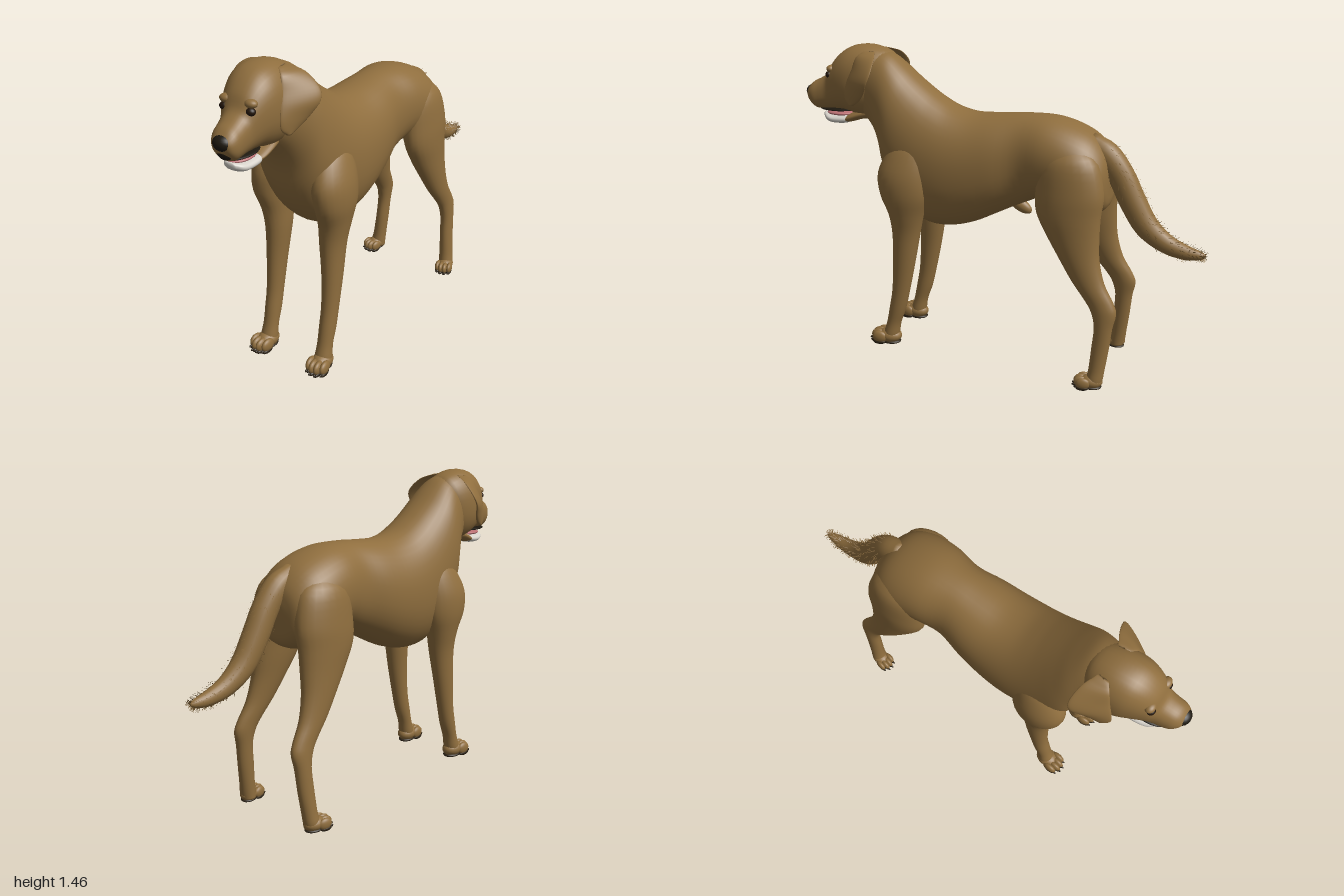
import * as THREE from 'three';

const mat = (name, color, side = THREE.FrontSide) => {
  const m = new THREE.MeshStandardMaterial({ color, side });
  m.name = name;
  return m;
};
const V = (x, y, z) => new THREE.Vector3(x, y, z);

// Smooth skin over rings; each ring is {c: centre, u, v: half axes}
function loft(rings, { sides = 28, steps = 4, power = 2 } = {}) {
  const [C, U, W] = ['c', 'u', 'v'].map((k) =>
    new THREE.CatmullRomCurve3(rings.map((r) => r[k]), false, 'catmullrom', 0.5));
  const n = (rings.length - 1) * steps;
  const pos = [], idx = [];
  const bend = (a) => Math.sign(a) * Math.abs(a) ** (2 / power);
  for (let i = 0; i <= n; i++) {
    const c = C.getPoint(i / n), u = U.getPoint(i / n), v = W.getPoint(i / n);
    for (let j = 0; j < sides; j++) {
      const a = (j / sides) * Math.PI * 2;
      const p = c.clone().addScaledVector(u, bend(Math.cos(a))).addScaledVector(v, bend(Math.sin(a)));
      pos.push(p.x, p.y, p.z);
    }
  }
  const mid = Math.floor(rings.length / 2);
  const along = rings[mid].c.clone().sub(rings[mid - 1].c);
  const flip = rings[mid].u.clone().cross(rings[mid].v).dot(along) < 0;
  const tri = (a, b, c) => (flip ? idx.push(a, c, b) : idx.push(a, b, c));
  for (let i = 0; i < n; i++) for (let j = 0; j < sides; j++) {
    const a = i * sides + j, b = i * sides + ((j + 1) % sides);
    tri(a, b, b + sides);
    tri(a, b + sides, a + sides);
  }
  // End caps
  const first = (n + 1) * sides;
  for (const c of [rings[0].c, rings.at(-1).c]) pos.push(c.x, c.y, c.z);
  for (let j = 0; j < sides; j++) {
    const k = (j + 1) % sides;
    tri(first, k, j);
    tri(first + 1, n * sides + j, n * sides + k);
  }
  const g = new THREE.BufferGeometry();
  g.setAttribute('position', new THREE.Float32BufferAttribute(pos, 3));
  g.setIndex(idx);
  g.computeVertexNormals();
  return g;
}

export function createModel() {
  const coat = mat('coat brown', 0x8f6e3e);
  const dark = mat('nose black', 0x1d180f);
  const eyeMat = mat('eye brown', 0x22150a);
  const pad = mat('paw pad dark brown', 0x2c2214);
  const white = mat('chin white', 0xd6d2ca);
  const pink = mat('tongue pink', 0xb96f72);
  const furMat = mat('loose hair brown', 0x7d6036, THREE.DoubleSide);

  const dog = new THREE.Group();
  dog.name = 'dog';
  const add = (name, geo, m, parent = dog) => {
    const mesh = new THREE.Mesh(geo, m);
    mesh.name = name;
    parent.add(mesh);
    return mesh;
  };
  const blob = (name, m, [x, y, z], [rx, ry, rz], parent = dog) => {
    const mesh = add(name, new THREE.SphereGeometry(1, 20, 14), m, parent);
    mesh.position.set(x, y, z);
    mesh.scale.set(rx, ry, rz);
    return mesh;
  };

  // Ring from its top and bottom points on the centre plane
  const spine = ([tz, ty, bz, by, w, x = 0]) => ({
    c: V(x, (ty + by) / 2, (tz + bz) / 2),
    u: V(w, 0, 0),
    v: V(0, (ty - by) / 2, (tz - bz) / 2),
  });

  // Rump, belly, chest and neck: top z, y, bottom z, y, half width
  add('body', loft([
    [-0.53, 0.98, -0.53, 0.9, 0.05], [-0.51, 1.06, -0.52, 0.81, 0.13],
    [-0.45, 1.13, -0.45, 0.77, 0.18], [-0.36, 1.175, -0.36, 0.78, 0.195],
    [-0.25, 1.2, -0.23, 0.82, 0.185], [-0.12, 1.2, -0.12, 0.78, 0.165],
    [0, 1.19, 0, 0.72, 0.187], [0.12, 1.185, 0.12, 0.66, 0.2],
    [0.22, 1.205, 0.25, 0.625, 0.205], [0.3, 1.245, 0.38, 0.64, 0.2],
    [0.36, 1.285, 0.5, 0.74, 0.19], [0.42, 1.33, 0.57, 0.86, 0.178],
    [0.48, 1.38, 0.595, 0.98, 0.16], [0.54, 1.425, 0.63, 1.06, 0.135],
    [0.6, 1.445, 0.69, 1.13, 0.11],
  ].map(spine), { sides: 40, power: 2.15 }), coat);
  blob('sheath', coat, [0, 0.76, -0.1], [0.025, 0.03, 0.06]).rotation.x = -0.5;

  // Skull and muzzle, turned a little to the left
  const head = new THREE.Group();
  head.name = 'head';
  dog.add(head);
  add('skull', loft([
    [0.53, 1.4, 0.57, 1.16, 0.08, -0.012], [0.57, 1.44, 0.61, 1.13, 0.112, -0.012],
    [0.65, 1.463, 0.67, 1.12, 0.13, -0.01], [0.73, 1.46, 0.73, 1.13, 0.128, -0.004],
    [0.79, 1.432, 0.78, 1.145, 0.112, 0.004], [0.84, 1.383, 0.83, 1.148, 0.09, 0.012],
    [0.87, 1.328, 0.87, 1.148, 0.075, 0.018], [0.91, 1.3, 0.91, 1.146, 0.069, 0.024],
    [0.95, 1.28, 0.94, 1.15, 0.063, 0.03], [0.98, 1.25, 0.965, 1.175, 0.045, 0.035],
    [0.988, 1.23, 0.98, 1.2, 0.015, 0.036],
  ].map(spine), { sides: 36, power: 2.3 }), coat, head);

  // Nose and front lip
  blob('nose', dark, [0.036, 1.23, 0.958], [0.044, 0.034, 0.039], head);
  blob('frontLip', dark, [0.036, 1.186, 0.95], [0.038, 0.026, 0.026], head);
  // Open mouth
  blob('mouthLining', dark, [0.014, 1.148, 0.845], [0.062, 0.01, 0.095], head);
  add('jaw', loft([
    [0.64, 1.18, 0.66, 1.11, 0.06], [0.7, 1.16, 0.71, 1.105, 0.072],
    [0.76, 1.135, 0.76, 1.09, 0.068, 0.004], [0.8, 1.115, 0.8, 1.085, 0.055, 0.006],
  ].map(spine)), coat, head);
  add('chin', loft([
    [0.765, 1.125, 0.765, 1.1, 0.05, 0.004], [0.79, 1.124, 0.79, 1.082, 0.064, 0.006],
    [0.85, 1.12, 0.85, 1.078, 0.06, 0.01], [0.89, 1.125, 0.885, 1.084, 0.048, 0.014],
    [0.915, 1.128, 0.912, 1.1, 0.02, 0.017],
  ].map(spine), { power: 2.3 }), white, head);
  blob('tongue', pink, [0.012, 1.126, 0.835], [0.046, 0.012, 0.07], head);

  // Curled hair path of the tail: z, y, radius, x
  const tail = [
    [-0.42, 1.1, 0.045, 0.005], [-0.5, 1.05, 0.06, 0.01], [-0.57, 0.965, 0.06, 0.014],
    [-0.63, 0.85, 0.06, 0.017], [-0.7, 0.74, 0.055, 0.02], [-0.79, 0.672, 0.044, 0.022],
    [-0.88, 0.643, 0.033, 0.024], [-0.94, 0.638, 0.02, 0.025], [-0.965, 0.638, 0.006, 0.025],
  ];
  const tailRings = tail.map(([z, y, r, x], i) => {
    const a = tail[Math.max(i - 1, 0)], b = tail[Math.min(i + 1, tail.length - 1)];
    const d = V(0, b[1] - a[1], b[0] - a[0]).normalize();
    return { c: V(x, y, z), u: V(r * 0.92, 0, 0), v: V(0, -d.z, d.y).multiplyScalar(r) };
  });
  add('tail', loft(tailRings, { sides: 20 }), coat);

  // Fine loose hairs along the tail
  let seed = 7;
  const rand = () => (seed = (seed * 16807) % 2147483647) / 2147483647;
  const hairs = [];
  for (let i = 0; i < 420; i++) {
    const k = 1 + rand() * 6.9, r0 = tailRings[Math.floor(k)], r1 = tailRings[Math.floor(k) + 1];
    const f = k % 1, a = rand() * Math.PI * 2;
    const c = r0.c.clone().lerp(r1.c, f);
    const out = r0.u.clone().lerp(r1.u, f).multiplyScalar(Math.cos(a))
      .addScaledVector(r0.v.clone().lerp(r1.v, f), Math.sin(a));
    const dir = r1.c.clone().sub(r0.c).normalize();
    const root = c.add(out);
    const tip = root.clone().addScaledVector(out.normalize(), 0.018).addScaledVector(dir, 0.015);
    const w = dir.cross(out).multiplyScalar(0.0018);
    for (const p of [root.clone().add(w), root.clone().sub(w), tip]) hairs.push(p.x, p.y, p.z);
  }
  const hairGeo = new THREE.BufferGeometry();
  hairGeo.setAttribute('position', new THREE.Float32BufferAttribute(hairs, 3));
  hairGeo.computeVertexNormals();
  add('tailHair', hairGeo, furMat);

  // Leg rows: y, centre z, half depth, centre x, half width
  const foreLeg = [
    [1.06, 0.39, 0.06, 0.12, 0.04], [1.0, 0.405, 0.105, 0.135, 0.068],
    [0.9, 0.425, 0.13, 0.155, 0.083], [0.8, 0.425, 0.122, 0.163, 0.078],
    [0.7, 0.422, 0.088, 0.155, 0.067], [0.6, 0.428, 0.07, 0.148, 0.057],
    [0.45, 0.443, 0.056, 0.152, 0.046], [0.3, 0.465, 0.045, 0.153, 0.039],
    [0.2, 0.487, 0.042, 0.153, 0.038], [0.12, 0.51, 0.036, 0.153, 0.036],
    [0.06, 0.525, 0.04, 0.154, 0.04], [0.02, 0.53, 0.036, 0.154, 0.038],
  ];
  const hindLeg = [
    [1.1, -0.36, 0.06, 0.1, 0.045], [1.03, -0.365, 0.13, 0.122, 0.08],
    [0.9, -0.375, 0.155, 0.137, 0.086], [0.8, -0.375, 0.148, 0.148, 0.078],
    [0.7, -0.4, 0.122, 0.155, 0.068], [0.6, -0.435, 0.094, 0.165, 0.056],
    [0.5, -0.482, 0.075, 0.175, 0.044], [0.42, -0.537, 0.066, 0.183, 0.036],
    [0.37, -0.562, 0.058, 0.188, 0.034], [0.3, -0.565, 0.042, 0.194, 0.032],
    [0.2, -0.557, 0.04, 0.2, 0.032], [0.1, -0.547, 0.037, 0.208, 0.034],
    [0.05, -0.54, 0.038, 0.213, 0.037], [0.02, -0.538, 0.034, 0.213, 0.036],
  ];
  // Ear rows: y, back x, back z, front x, front z
  const earRows = [
    [1.44, 0.075, 0.605, 0.08, 0.66], [1.415, 0.14, 0.575, 0.108, 0.685],
    [1.36, 0.2, 0.565, 0.122, 0.705], [1.31, 0.216, 0.58, 0.132, 0.725],
    [1.26, 0.192, 0.61, 0.138, 0.738], [1.22, 0.168, 0.65, 0.14, 0.735],
    [1.195, 0.152, 0.69, 0.144, 0.71],
  ];

  for (const s of [1, -1]) {
    const side = s > 0 ? 'left' : 'right';
    const leg = (rows) => loft(rows.map(([y, z, rz, x, rx]) =>
      ({ c: V(s * x, y, z), u: V(s * rx, 0, 0), v: V(0, 0, rz) })), { sides: 24 });
    add(side + 'ForeLeg', leg(foreLeg), coat);
    add(side + 'HindLeg', leg(hindLeg), coat);

    // Paws with four toes, claws and dark pads
    for (const [name, x, z, size, turn] of [['ForePaw', 0.154, 0.52, 1, 0.08], ['HindPaw', 0.216, -0.54, 0.86, 0.2]]) {
      const paw = new THREE.Group();
      paw.name = side + name;
      paw.position.set(s * x, 0, z);
      paw.rotation.y = s * turn;
      paw.scale.setScalar(size);
      dog.add(paw);
      blob('palm', coat, [0, 0.043, 0.015], [0.045, 0.037, 0.06], paw);
      blob('solePad', pad, [0, 0.013, 0.012], [0.039, 0.013, 0.052], paw);
      for (const t of [-1.5, -0.5, 0.5, 1.5]) {
        const tz = Math.abs(t) > 1 ? 0.058 : 0.072;
        blob('toe', coat, [t * 0.024, 0.041, tz], [0.017, 0.031, 0.038], paw);
        blob('toePad', pad, [t * 0.024, 0.014, tz + 0.004], [0.014, 0.013, 0.033], paw);
        blob('claw', pad, [t * 0.025, 0.022, tz + 0.035], [0.005, 0.007, 0.012], paw);
      }
    }

    // Hanging ear
    add(side + 'Ear', loft(earRows.map(([y, bx, bz, fx, fz]) => {
      const u = V((s * (fx - bx)) / 2, 0, (fz - bz) / 2);
      const v = V(u.z, 0, -u.x).normalize().multiplyScalar(0.011);
      return { c: V((s * (fx + bx)) / 2 - 0.012, y, (fz + bz) / 2), u, v };
    }), { sides: 24 }), coat, head);

    // Eye with brow
    blob(side + 'Eye', eyeMat, [0.014 + s * 0.063, 1.322, 0.846], [0.021, 0.017, 0.018], head);
    blob(side + 'Brow', coat, [0.012 + s * 0.06, 1.35, 0.836], [0.028, 0.018, 0.022], head);
  }
  return dog;
}
